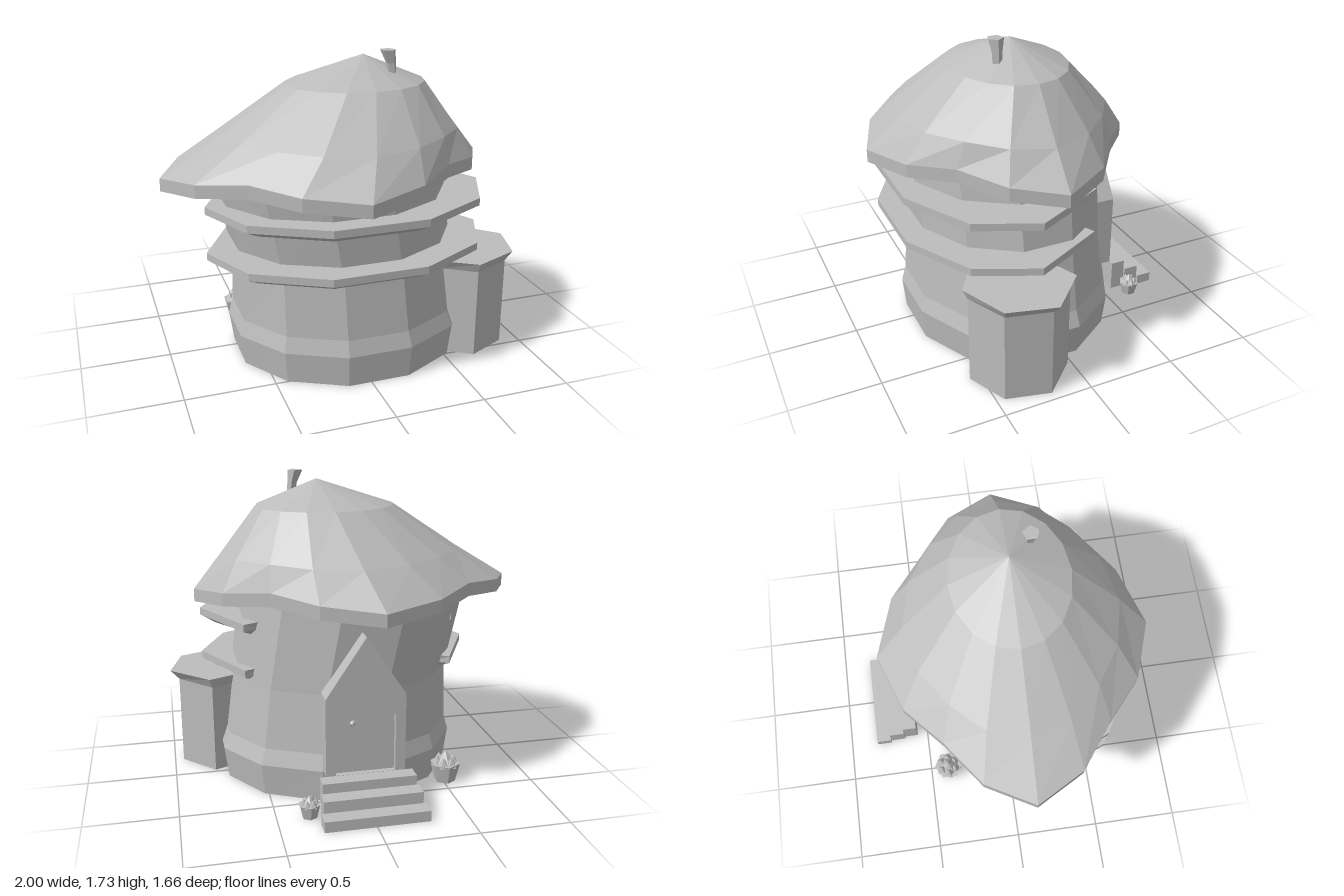
import * as THREE from 'three';

// Double-sided because the stalk, annex and steps are open underneath
const stone = new THREE.MeshStandardMaterial({ color: 0xbcbcbc, flatShading: true, side: THREE.DoubleSide });
stone.name = 'paleGrey';

function part(parent, name, geometry, x = 0, y = 0, z = 0) {
  const mesh = new THREE.Mesh(geometry, stone);
  mesh.name = name;
  mesh.position.set(x, y, z);
  parent.add(mesh);
  return mesh;
}

// Skin a stack of rings (lowest first), closing the top and, unless open, the bottom
function loft(rings, openBottom = false) {
  const n = rings[0].length, pos = [], index = [];
  rings.forEach(r => r.forEach(p => pos.push(...p)));
  for (let i = 0; i < rings.length - 1; i++) {
    for (let k = 0; k < n; k++) {
      const a = i * n + k, b = i * n + (k + 1) % n;
      index.push(a, a + n, b, b, a + n, b + n);
    }
  }
  const caps = openBottom ? [rings.length - 1] : [0, rings.length - 1];
  caps.forEach(i => {
    const c = pos.length / 3, r = rings[i];
    pos.push(...[0, 1, 2].map(j => r.reduce((s, p) => s + p[j], 0) / n));
    for (let k = 0; k < n; k++) {
      const a = i * n + k, b = i * n + (k + 1) % n;
      index.push(c, ...(i ? [b, a] : [a, b]));
    }
  });
  const g = new THREE.BufferGeometry();
  g.setAttribute('position', new THREE.Float32BufferAttribute(pos, 3));
  g.setIndex(index);
  const flat = g.toNonIndexed();
  flat.computeVertexNormals();
  return flat;
}

// Elliptical ring; wave lifts and pinch pulls in the diagonals
function ring(n, y, cx, cz, rx, rz, turn = 0, wave = 0, pinch = 0) {
  return Array.from({ length: n }, (_, k) => {
    const t = turn + k / n * Math.PI * 2, d = (1 - Math.cos(4 * t)) / 2;
    const f = 1 - pinch * d;
    return [cx + rx * f * Math.cos(t), y + wave * d, cz + rz * f * Math.sin(t)];
  });
}

function archShape(points) {
  const all = [...points, ...points.filter(p => p[0] > 0).reverse().map(([x, y]) => [-x, y])];
  return all.map(([x, y]) => new THREE.Vector2(x, y));
}

// Box without its bottom face
function openBox(w, h, d) {
  const g = new THREE.BoxGeometry(w, h, d);
  g.setIndex(Array.from(g.index.array).filter((_, i) => i < 18 || i >= 24));
  return g;
}

function plant(parent, x, z, size) {
  const g = new THREE.Group();
  g.name = 'pottedPlant';
  g.position.set(x, 0, z);
  g.scale.setScalar(size);
  parent.add(g);
  part(g, 'pot', new THREE.CylinderGeometry(0.06, 0.042, 0.075, 6), 0, 0.0375, 0);
  part(g, 'plantCore', new THREE.ConeGeometry(0.045, 0.055, 6), 0, 0.098, 0);
  for (let k = 0; k < 6; k++) {
    const t = k / 6 * Math.PI * 2;
    const leaf = part(g, 'leaf', new THREE.ConeGeometry(0.027, 0.04, 5),
      0.032 * Math.cos(t), 0.087, 0.032 * Math.sin(t));
    leaf.rotation.set(0.1 * Math.sin(t), 0, -0.1 * Math.cos(t));
  }
}

export function createModel() {
  const model = new THREE.Group();
  model.name = 'mushroomHouse';

  // Twelve-sided stalk, bulging at the foot and leaning at the top
  part(model, 'stalk', loft([
    [0, 0.045, 0.675, 0.59], [0.18, 0.045, 0.7, 0.606], [0.27, 0.04, 0.67, 0.58],
    [0.6, 0.02, 0.643, 0.55], [1.04, -0.06, 0.66, 0.572], [1.1, -0.065, 0.66, 0.575],
  ].map(([y, cx, rx, rz]) => ring(12, y, cx, 0.08, rx, rz, Math.PI / 12)), true));

  // Cap with a wavy rim
  part(model, 'roofCap', loft([
    ring(16, 1.04, -0.06, 0.08, 0.3, 0.25),
    ring(16, 1.025, -0.078, 0.077, 0.922, 0.753, 0, 0.06, 0.165),
    ring(16, 1.097, -0.078, 0.077, 0.922, 0.753, 0, 0.062, 0.165),
    ring(16, 1.285, 0.0, 0.08, 0.695, 0.59, 0, 0.015, 0.06),
    ring(16, 1.55, 0.095, 0.08, 0.395, 0.322),
    ring(16, 1.695, 0.14, 0.08, 0.001, 0.001),
  ]));

  // Twig on the cap
  part(model, 'roofTwig', loft([
    ring(5, 1.58, 0.262, 0.205, 0.026, 0.028),
    ring(5, 1.66, 0.255, 0.205, 0.028, 0.03),
    ring(5, 1.733, 0.236, 0.205, 0.044, 0.046),
  ]));

  // Two shelves wrapped around the front, each a five-point section swept from tip to tip
  const half = [[0.59, -0.215], [0.8, 0.2], [0.65, 0.535], [0.26, 0.745]];
  const edge = [...half, ...half.slice().reverse().map(([x, z]) => [-x, z])];
  [0.69, 0.953].forEach((top, i) => part(model, i ? 'upperShelf' : 'lowerShelf',
    loft(edge.map(([x, z]) => {
      const innerX = x * 0.66, innerZ = 0.08 + (z - 0.08) * 0.66, low = top - 0.09;
      return [
        [innerX, top, innerZ], [0.01 + x, top, z], [0.01 + x, top - 0.042, z],
        [0.01 + x * 0.89, low, z * (z > 0 ? 0.89 : 0.5)], [innerX, low, innerZ],
      ];
    }))));

  // Six-sided annex with a flared top
  const plan = [[0.95, 0.21], [0.89, 0.455], [0.665, 0.56], [0.48, 0.435], [0.53, 0.13], [0.77, 0.02]];
  const annexRing = (y, sx, sz) => plan.map(([x, z]) => [0.69 + (x - 0.69) * sx, y, 0.29 + (z - 0.29) * sz]);
  part(model, 'annex', loft([annexRing(0, 1, 1), annexRing(0.52, 1, 1), annexRing(0.577, 1.19, 1.1)], true));

  // Back door: pointed frame, recessed panel and knob
  const frame = new THREE.Shape(archShape([[0.22, 0.18], [0.22, 0.62], [0, 0.95]]));
  const opening = archShape([[0.165, 0.181], [0.165, 0.5], [0.11, 0.66], [0, 0.8]]);
  frame.holes.push(new THREE.Path(opening));
  part(model, 'doorFrame',
    new THREE.ExtrudeGeometry(frame, { depth: 0.12, bevelEnabled: false }), 0, 0, -0.565);
  part(model, 'door', new THREE.ExtrudeGeometry(new THREE.Shape(opening),
    { depth: 0.08, bevelEnabled: false }), 0, 0, -0.535);
  part(model, 'doorKnob', new THREE.IcosahedronGeometry(0.018, 0), 0.07, 0.47, -0.55);

  // Steps
  [[0.515, 0.18, -0.565, -0.65], [0.54, 0.125, -0.65, -0.74], [0.57, 0.06, -0.74, -0.83]]
    .forEach(([w, h, z0, z1]) => part(model, 'step',
      openBox(w, h, z0 - z1), -0.005, h / 2, (z0 + z1) / 2));

  plant(model, 0.325, -0.645, 1);
  plant(model, -0.515, -0.385, 1.45);
  return model;
}
